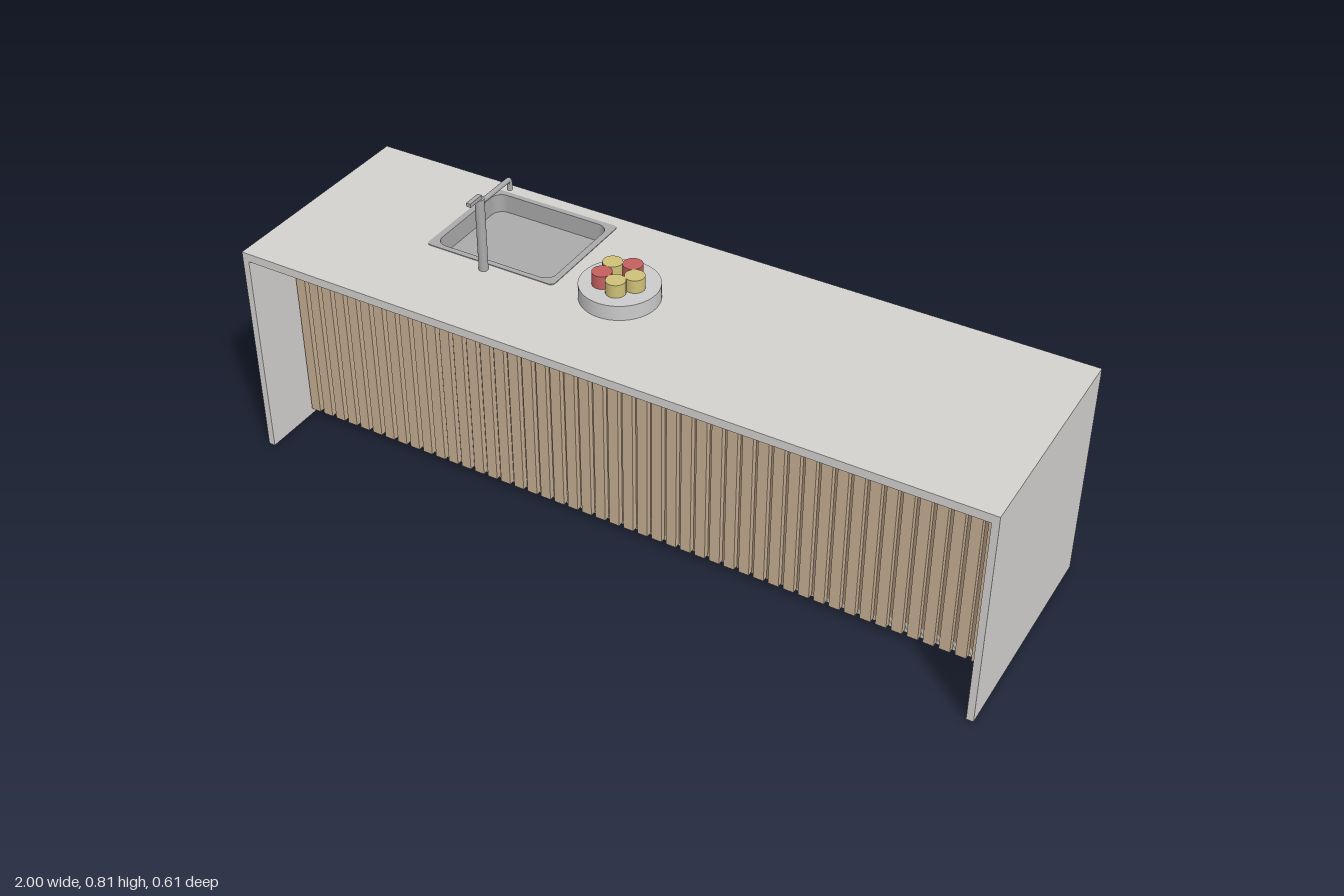
import * as THREE from 'three';

const material = (color) => new THREE.MeshStandardMaterial({ color });
const stone = material(0xd4d2cf), wood = material(0xc5ae92), darkWood = material(0x9d8771);
const metal = material(0xaaaaaa), dark = material(0x777777), grey = material(0xcccccc);
const red = material(0xc46060), yellow = material(0xcfc078);
const midZ = 0.003;

function add(parent, name, geometry, mat, x = 0, y = 0, z = 0) {
  const mesh = new THREE.Mesh(geometry, mat);
  mesh.name = name;
  mesh.position.set(x, y, z);
  parent.add(mesh);
  return mesh;
}

// Box given by its limits on each axis
function block(parent, name, mat, [x0, x1], [y0, y1], [z0, z1]) {
  return add(parent, name, new THREE.BoxGeometry(x1 - x0, y1 - y0, z1 - z0), mat,
    (x0 + x1) / 2, (y0 + y1) / 2, (z0 + z1) / 2);
}

// Rectangle with rounded corners, centred on (cx, cy)
function rounded(target, cx, cy, w, h, r) {
  const corners = [[1, 1, 0], [-1, 1, 1], [-1, -1, 2], [1, -1, 3]];
  for (const [sx, sy, q] of corners) {
    target.absarc(cx + sx * (w / 2 - r), cy + sy * (h / 2 - r), r, q * Math.PI / 2, (q + 1) * Math.PI / 2, false);
  }
  target.closePath();
  return target;
}

function rectangle(target, w, h) {
  target.moveTo(-w / 2, -h / 2);
  target.lineTo(w / 2, -h / 2);
  target.lineTo(w / 2, h / 2);
  target.lineTo(-w / 2, h / 2);
  target.closePath();
  return target;
}

// Extrudes a plan outline (x, -z) upwards from height y
function slab(parent, name, mat, shape, y, height) {
  const geometry = new THREE.ExtrudeGeometry(shape, { depth: height, bevelEnabled: false, curveSegments: 8 });
  geometry.rotateX(-Math.PI / 2);
  return add(parent, name, geometry, mat, 0, y, 0);
}

// Framed front with a sunken panel, facing -z
function cabinetFront(parent, name, cx, cy, w, h, margin) {
  const group = new THREE.Group();
  group.name = name;
  const shape = rectangle(new THREE.Shape(), w, h);
  shape.holes.push(rectangle(new THREE.Path(), w - 2 * margin, h - 2 * margin));
  add(group, 'frame', new THREE.ExtrudeGeometry(shape, { depth: 0.016, bevelEnabled: false }), wood);
  block(group, 'insetPanel', wood, [-w / 2 + 0.005, w / 2 - 0.005], [-h / 2 + 0.005, h / 2 - 0.005], [-0.002, 0.008]);
  group.rotation.y = Math.PI;
  group.position.set(cx, cy, -0.264);
  parent.add(group);
}

// Bar handle on two posts
function handle(parent, name, cx, cy, length, upright) {
  const group = new THREE.Group();
  group.name = name;
  add(group, 'bar', new THREE.CylinderGeometry(0.0035, 0.0035, length, 10), dark).rotation.z = Math.PI / 2;
  for (const s of [-1, 1]) {
    add(group, 'post', new THREE.CylinderGeometry(0.003, 0.003, 0.02, 8), dark,
      s * (length / 2 - 0.015), 0, 0.01).rotation.x = Math.PI / 2;
  }
  if (upright) group.rotation.z = Math.PI / 2;
  group.position.set(cx, cy, -0.2995);
  parent.add(group);
}

function buildSink(parent) {
  const cx = -0.443, cz = -0.107, w = 0.335, d = 0.275;
  const rim = rounded(new THREE.Shape(), cx, -cz, 0.37, 0.305, 0.012);
  rim.holes.push(rounded(new THREE.Path(), cx, -cz, w, d, 0.03));
  slab(parent, 'sinkRim', metal, rim, 0.599, 0.003);
  const wall = rounded(new THREE.Shape(), cx, -cz, w + 0.008, d + 0.008, 0.034);
  wall.holes.push(rounded(new THREE.Path(), cx, -cz, w, d, 0.03));
  slab(parent, 'sinkWall', metal, wall, 0.55, 0.05);
  slab(parent, 'sinkFloor', metal, rounded(new THREE.Shape(), cx, -cz, w + 0.008, d + 0.008, 0.034), 0.546, 0.005);
}

function buildFaucet(parent) {
  const faucet = new THREE.Group();
  faucet.name = 'faucet';
  faucet.position.set(-0.443, 0.6, 0.067);
  add(faucet, 'post', new THREE.CylinderGeometry(0.012, 0.012, 0.2, 24), metal, 0, 0.1, 0);
  block(faucet, 'lever', metal, [-0.006, 0.006], [0.2, 0.21], [-0.002, 0.046]);
  const path = new THREE.CurvePath();
  const v = (y, z) => new THREE.Vector3(0, y, z);
  path.add(new THREE.LineCurve3(v(0.187, 0), v(0.187, -0.12)));
  path.add(new THREE.QuadraticBezierCurve3(v(0.187, -0.12), v(0.187, -0.128), v(0.179, -0.128)));
  path.add(new THREE.LineCurve3(v(0.179, -0.128), v(0.159, -0.128)));
  add(faucet, 'spout', new THREE.TubeGeometry(path, 60, 0.0065, 12), metal);
  add(faucet, 'nozzle', new THREE.CylinderGeometry(0.007, 0.007, 0.02, 12), metal, 0, 0.168, -0.128);
  parent.add(faucet);
}

function buildDish(parent) {
  const dish = new THREE.Group();
  dish.name = 'dish';
  dish.position.set(-0.095, 0.6, midZ);
  add(dish, 'plate', new THREE.CylinderGeometry(0.1, 0.1, 0.04, 48), grey, 0, 0.02, 0);
  [yellow, yellow, red, yellow, red].forEach((mat, i) => {
    const a = i * Math.PI * 2 / 5;
    add(dish, 'fruit', new THREE.CylinderGeometry(0.025, 0.025, 0.035, 24), mat,
      0.042 * Math.cos(a), 0.0575, 0.042 * Math.sin(a));
  });
  parent.add(dish);
}

export function createModel() {
  const model = new THREE.Group();
  model.name = 'kitchenIsland';

  // Counter with sink opening, and end panels
  const top = rectangle(new THREE.Shape(), 2, 0.6);
  top.holes.push(rounded(new THREE.Path(), -0.443, 0.107 + midZ, 0.34, 0.28, 0.032));
  slab(model, 'countertop', stone, top, 0.577, 0.023).position.z = midZ;
  for (const s of [-1, 1]) {
    block(model, 'endPanel', stone, s < 0 ? [-1, -0.982] : [0.982, 1], [0, 0.577], [-0.297, 0.303]);
  }

  // Cabinet body and plinth
  block(model, 'cabinetBody', wood, [-0.982, 0.982], [0.065, 0.535], [-0.263, 0.12]);
  block(model, 'plinth', grey, [-0.982, 0.982], [0.015, 0.066], [-0.235, 0.13]);

  // Fluted front
  block(model, 'slatBacking', darkWood, [-0.982, 0.982], [0.015, 0.577], [0.115, 0.13]);
  const slats = 48, pitch = 0.0405;
  for (let i = 0; i < slats; i++) {
    const x = -0.978 + i * pitch;
    block(model, 'slat', wood, [x, x + 0.028], [0.02, 0.575], [0.128, 0.146]);
  }

  // Five cabinets, each a drawer above two doors
  const bay = 1.964 / 5;
  for (let i = 0; i < 5; i++) {
    const x = (i - 2) * bay;
    cabinetFront(model, 'drawerFront', x, 0.521, bay - 0.004, 0.102, 0.026);
    handle(model, 'drawerHandle', x, 0.518, 0.24, false);
    for (const s of [-1, 1]) {
      cabinetFront(model, 'door', x + s * bay / 4, 0.266, bay / 2 - 0.004, 0.402, 0.04);
      handle(model, 'doorHandle', x + s * 0.033, 0.365, 0.108, true);
    }
  }

  buildSink(model);
  buildFaucet(model);
  buildDish(model);
  return model;
}
